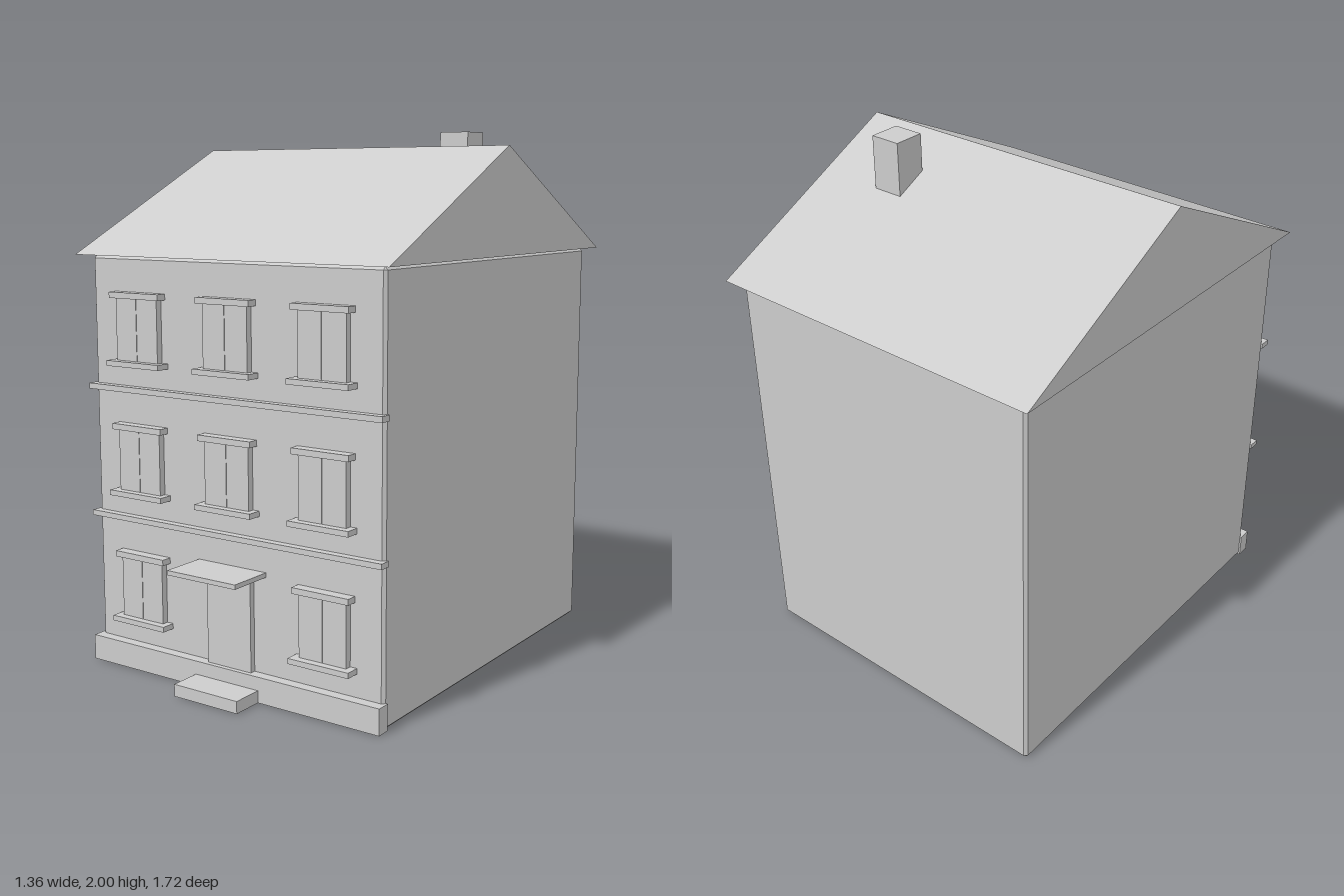
import * as THREE from 'three';
import { ConvexGeometry } from 'three/addons/geometries/ConvexGeometry.js';

// Box with every edge chamfered by c
function chamferBox(x, y0, y1, z0, z1, c) {
  const points = [];
  for (const sx of [-1, 1]) for (const [y, sy] of [[y0, -1], [y1, 1]]) for (const [z, sz] of [[z0, -1], [z1, 1]]) {
    points.push(new THREE.Vector3(sx * x, y - sy * c, z - sz * c));
    points.push(new THREE.Vector3(sx * (x - c), y, z - sz * c));
    points.push(new THREE.Vector3(sx * (x - c), y - sy * c, z));
  }
  return new ConvexGeometry(points);
}

// Open-bottomed gable roof: two slopes and two gable ends
function gableRoof(x, eaveY, ridgeY, frontZ, ridgeZ, backZ) {
  const F = s => [s * x, eaveY, frontZ];
  const R = s => [s * x, ridgeY, ridgeZ];
  const B = s => [s * x, eaveY, backZ];
  const faces = [
    F(-1), F(1), R(1), F(-1), R(1), R(-1),
    B(1), B(-1), R(-1), B(1), R(-1), R(1),
    F(1), B(1), R(1),
    B(-1), F(-1), R(-1),
  ];
  const geometry = new THREE.BufferGeometry();
  geometry.setAttribute('position', new THREE.Float32BufferAttribute(faces.flat(), 3));
  geometry.computeVertexNormals();
  return geometry;
}

export function createModel() {
  const model = new THREE.Group();
  model.name = 'house';
  const grey = new THREE.MeshStandardMaterial({ color: 0xcccccc, side: THREE.DoubleSide });
  grey.name = 'light grey';

  const add = (name, geometry, parent = model) => {
    const mesh = new THREE.Mesh(geometry, grey);
    mesh.name = name;
    parent.add(mesh);
    return mesh;
  };
  // Box given by its limits on each axis
  const box = (name, x0, x1, y0, y1, z0, z1, parent) =>
    add(name, new THREE.BoxGeometry(x1 - x0, y1 - y0, z1 - z0), parent)
      .position.set((x0 + x1) / 2, (y0 + y1) / 2, (z0 + z1) / 2);

  // Main volume
  const wallZ = 0.688, inZ = 0.675;
  add('walls', chamferBox(0.641, 0, 1.547, -0.817, wallZ, 0.011));
  add('roof', gableRoof(0.682, 1.549, 1.942, 0.736, -0.064, -0.861));
  box('chimney', 0.302, 0.421, 1.72, 2, -0.35, -0.23);

  // Facade trim
  box('plinth', -0.648, 0.648, 0, 0.095, inZ, 0.728);
  box('lowerBand', -0.648, 0.648, 0.566, 0.586, inZ, 0.718);
  box('upperBand', -0.648, 0.648, 1.051, 1.072, inZ, 0.718);

  // Entrance
  box('doorStep', -0.142, 0.142, 0, 0.045, 0.7, 0.847);
  box('door', -0.098, 0.098, 0.09, 0.438, inZ, 0.71);
  box('doorCanopy', -0.152, 0.152, 0.449, 0.466, inZ, 0.861);

  // Windows on three floors, with the door in place of the lower middle one
  for (let floor = 0; floor < 3; floor++) {
    for (const column of [-1, 0, 1]) {
      if (floor === 0 && column === 0) continue;
      const frame = new THREE.Group();
      frame.name = 'window';
      frame.position.set(column * 0.408, 0.178 + floor * 0.485, 0);
      box('windowSill', -0.125, 0.125, 0, 0.02, inZ, 0.742, frame);
      box('windowLintel', -0.117, 0.117, 0.248, 0.27, inZ, 0.729, frame);
      for (const side of [-1, 1]) {
        const edges = [side * 0.001, side * 0.098].sort((a, b) => a - b);
        box('windowPane', edges[0], edges[1], 0.018, 0.25, inZ, 0.713, frame);
      }
      model.add(frame);
    }
  }
  return model;
}
